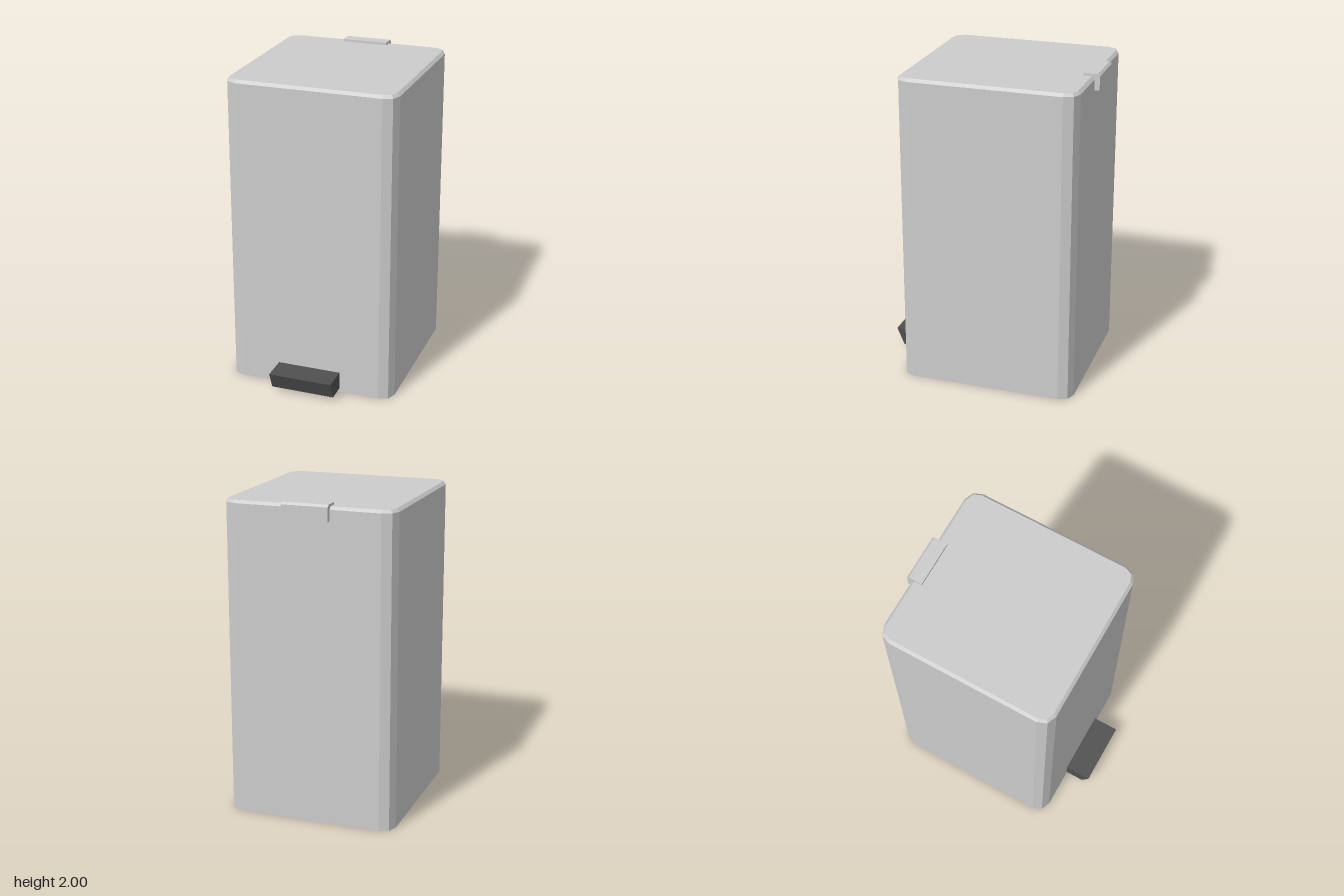
import * as THREE from 'three';

const HALF_X = 0.543, HALF_Z = 0.563, CENTRE_Z = -0.069, RADIUS = 0.083;

// Rounded-square outline with two facets per corner, at height y
function outline(y, inset = 0) {
  const points = [];
  const r = RADIUS - inset;
  const signs = [[1, 1], [-1, 1], [-1, -1], [1, -1]];
  signs.forEach(([sx, sz], corner) => {
    for (let k = 0; k <= 2; k++) {
      const a = (corner + k / 2) * Math.PI / 2;
      points.push(new THREE.Vector3(
        sx * (HALF_X - RADIUS) + r * Math.cos(a), y,
        CENTRE_Z + sz * (HALF_Z - RADIUS) + r * Math.sin(a)));
    }
  });
  return points;
}

// Flat-faceted skin through a stack of outlines, with optional end caps
function loft(rings, capBottom, capTop) {
  const out = [];
  const tri = (...pts) => pts.forEach(p => out.push(p.x, p.y, p.z));
  const n = rings[0].length;
  for (let j = 0; j < n; j++) {
    const k = (j + 1) % n;
    for (let i = 0; i + 1 < rings.length; i++) {
      const lo = rings[i], hi = rings[i + 1];
      tri(lo[j], hi[j], hi[k]);
      tri(lo[j], hi[k], lo[k]);
    }
    const bottom = rings[0], top = rings[rings.length - 1];
    if (capBottom) tri(new THREE.Vector3(0, bottom[0].y, CENTRE_Z), bottom[j], bottom[k]);
    if (capTop) tri(new THREE.Vector3(0, top[0].y, CENTRE_Z), top[k], top[j]);
  }
  const geometry = new THREE.BufferGeometry();
  geometry.setAttribute('position', new THREE.Float32BufferAttribute(out, 3));
  geometry.computeVertexNormals();
  return geometry;
}

// Side profile given as [z, y] points, extruded along x
function sideExtrude(profile, x0, x1) {
  const shape = new THREE.Shape(profile.map(([z, y]) => new THREE.Vector2(-z, y)));
  const geometry = new THREE.ExtrudeGeometry(shape, { depth: x1 - x0, bevelEnabled: false });
  geometry.rotateY(Math.PI / 2);
  geometry.translate(x0, 0, 0);
  return geometry;
}

export function createModel() {
  const model = new THREE.Group();
  model.name = 'pedalBin';
  const steel = new THREE.MeshStandardMaterial({ color: 0xcccccc });
  steel.name = 'light grey';
  const rubber = new THREE.MeshStandardMaterial({ color: 0x505050 });
  rubber.name = 'dark grey';

  const add = (name, geometry, material) => {
    const mesh = new THREE.Mesh(geometry, material);
    mesh.name = name;
    model.add(mesh);
  };

  // Container and the bevelled lid that closes it
  add('body', loft([outline(0), outline(1.94)], true, false), steel);
  add('lid', loft([outline(1.94), outline(1.967), outline(1.985, 0.018)], false, true), steel);

  // L-shaped hinge bracket folded over the back edge of the lid
  add('hinge', sideExtrude([
    [-0.563, 1.98], [-0.563, 2.0], [-0.65, 2.0], [-0.664, 1.986],
    [-0.664, 1.9], [-0.63, 1.9], [-0.63, 1.98],
  ], -0.147, 0.145), steel);

  // Foot pedal with a front face that slopes back towards the floor
  add('pedal', sideExtrude([
    [0.49, 0.025], [0.615, 0.025], [0.662, 0.137], [0.49, 0.137],
  ], -0.207, 0.203), rubber);

  return model;
}
